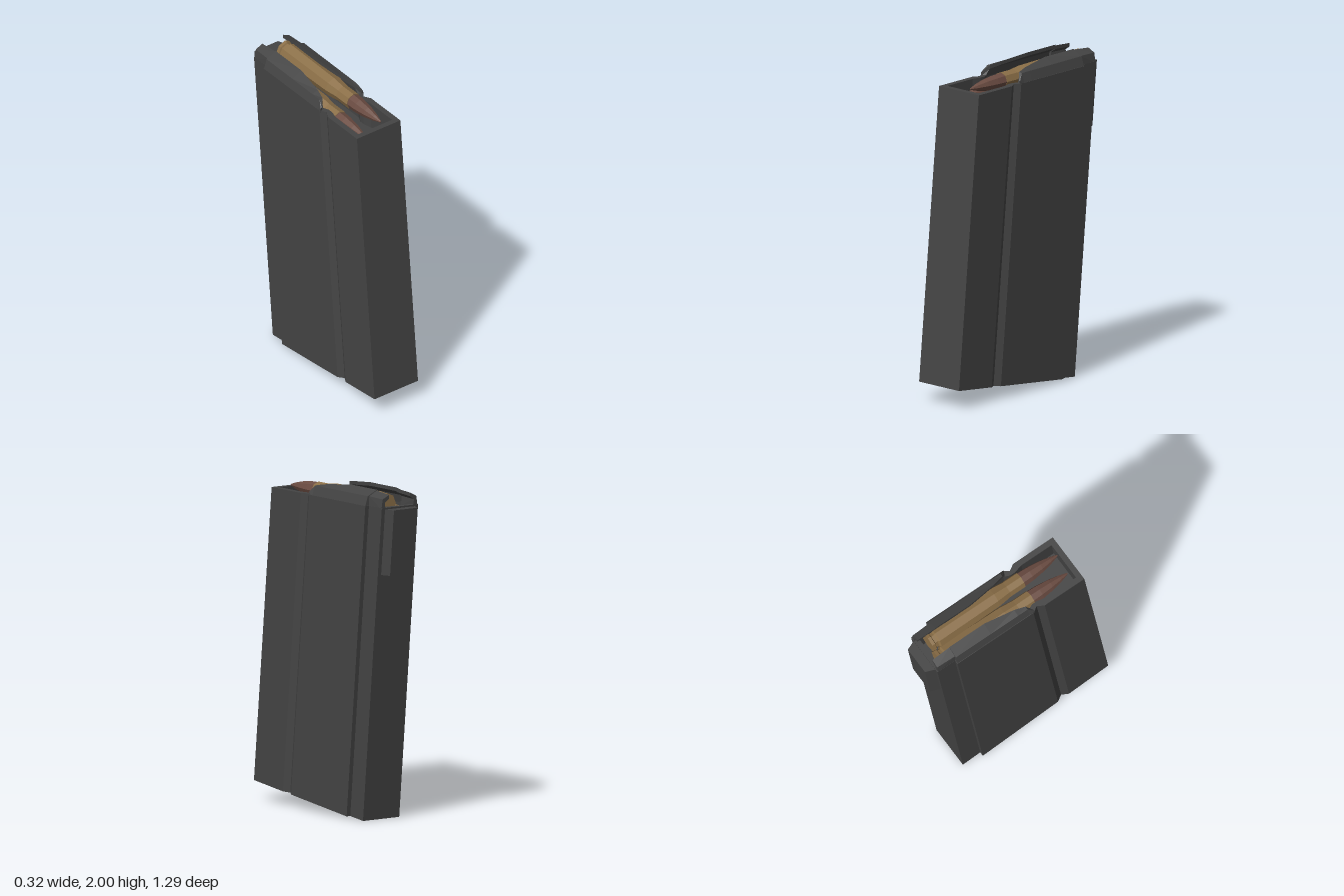
import * as THREE from 'three';

const steel = new THREE.MeshStandardMaterial({ color: 0x444444, side: THREE.DoubleSide, flatShading: true });
steel.name = 'dark steel';
const brass = new THREE.MeshStandardMaterial({ color: 0x8b6f47, flatShading: true });
brass.name = 'brass';
const copper = new THREE.MeshStandardMaterial({ color: 0x6b4c42, flatShading: true });
copper.name = 'copper';

const LEAN = 0.0978; // backward lean of the whole case per unit of height
const TOP = 1.91;
const slopedFloor = (w) => 0.0454 + 0.1135 * w;

// Closed outline, mirrored in x, from [half width, depth] points listed front to back
function outline(half, Type = THREE.Shape) {
  const all = [...half, ...half.slice().reverse().map(([x, w]) => [-x, w])];
  return new Type(all.map(([x, w]) => new THREE.Vector2(x, -w)));
}

// Leaning upright prism between two heights, each a function of depth
function prism(name, shape, low, high) {
  const geo = new THREE.ExtrudeGeometry(shape, { depth: 1, bevelEnabled: false });
  geo.rotateX(-Math.PI / 2);
  const p = geo.attributes.position;
  for (let i = 0; i < p.count; i++) {
    const w = p.getZ(i);
    const y = THREE.MathUtils.lerp(low(w), high(w), p.getY(i));
    p.setXYZ(i, p.getX(i), y, w - LEAN * y);
  }
  geo.computeVertexNormals();
  const mesh = new THREE.Mesh(geo, steel);
  mesh.name = name;
  return mesh;
}

// Solid skin over equal-sized cross-section rings
function loft(rings) {
  const n = rings[0].length;
  const index = [];
  for (let s = 0; s < rings.length - 1; s++) {
    for (let i = 0; i < n; i++) {
      const a = s * n + i, b = s * n + (i + 1) % n;
      index.push(a, a + n, b, b, a + n, b + n);
    }
  }
  // end caps: two quads across the folded sheet
  for (const o of [0, (rings.length - 1) * n]) {
    index.push(o, o + 1, o + 4, o, o + 4, o + 5, o + 1, o + 2, o + 3, o + 1, o + 3, o + 4);
  }
  const geo = new THREE.BufferGeometry();
  geo.setAttribute('position', new THREE.Float32BufferAttribute(rings.flat(2), 3));
  geo.setIndex(index);
  const flat = geo.toNonIndexed();
  flat.computeVertexNormals();
  return flat;
}

// Folded feed lip: stations are [z, outer x, shoulder x, shoulder y, inner x, inner y]
function feedLip(side, stations) {
  const rings = stations.map(([z, a, b, ys, c, yt]) => [
    [a, 1.9, z], [b, ys, z], [c, yt, z],
    [c, yt - 0.022, z], [b - 0.018, ys - 0.02, z], [a - 0.03, 1.89, z],
  ].map(([x, y, d]) => [side * x, y, d]));
  const mesh = new THREE.Mesh(loft(rings), steel);
  mesh.name = side > 0 ? 'leftFeedLip' : 'rightFeedLip';
  return mesh;
}

function turned(name, profile, material) {
  const geo = new THREE.LatheGeometry(profile.map(([r, z]) => new THREE.Vector2(r, z)), 8);
  geo.rotateX(Math.PI / 2);
  const mesh = new THREE.Mesh(geo, material);
  mesh.name = name;
  return mesh;
}

// One round, pointing forward
function cartridge(name, x, y) {
  const g = new THREE.Group();
  g.name = name;
  g.add(
    turned('casing', [[0, -0.525], [0.066, -0.525], [0.066, -0.505], [0.057, -0.5], [0.057, -0.482],
      [0.07, -0.472], [0.063, -0.04], [0.052, 0.05], [0.052, 0.155], [0, 0.156]], brass),
    turned('bullet', [[0.049, 0.15], [0.046, 0.22], [0.036, 0.3], [0.021, 0.37], [0.005, 0.423], [0, 0.425]], copper),
  );
  g.position.set(x, y, 0);
  return g;
}

export function createModel() {
  const model = new THREE.Group();
  model.name = 'magazine';

  // Hollow case with a V groove down each side and a narrower spine
  const outer = [[0.162, 0.657], [0.162, 0.367], [0.138, 0.325], [0.16, 0.288],
    [0.162, 0.285], [0.162, -0.272], [0.135, -0.272], [0.135, -0.4]];
  const inner = [[0.126, 0.622], [0.126, 0.4], [0.112, 0.345], [0.112, 0.31],
    [0.13, 0.27], [0.13, -0.25], [0.108, -0.25], [0.108, -0.366]];
  const caseShape = outline(outer);
  caseShape.holes.push(outline(inner, THREE.Path));
  model.add(prism('caseWalls', caseShape, slopedFloor, () => TOP));

  // Floor and follower fill the inside of the case
  model.add(prism('floor', outline(inner), slopedFloor, (w) => slopedFloor(w) + 0.02));
  model.add(prism('follower', outline(inner), () => 1.71, () => 1.74));

  // Catch block on the spine
  const catchShape = outline([[0.112, -0.39], [0.112, -0.396], [0.088, -0.459]]);
  model.add(prism('catchBlock', catchShape, () => 1.5, () => 1.9));

  // Feed lips: long front part, then the narrower rear part
  const stations = [
    [0.105, 0.162, 0.158, 1.925, 0.15, 1.93],
    [0.07, 0.162, 0.14, 1.965, 0.118, 1.968],
    [0.0, 0.162, 0.14, 1.966, 0.1, 1.98],
    [-0.2, 0.162, 0.14, 1.967, 0.073, 2.0],
    [-0.455, 0.162, 0.14, 1.968, 0.073, 2.0],
    [-0.456, 0.135, 0.13, 1.966, 0.073, 1.995],
    [-0.582, 0.135, 0.125, 1.962, 0.077, 1.985],
  ];
  for (const side of [1, -1]) model.add(feedLip(side, stations));

  // Two staggered rounds
  model.add(cartridge('upperCartridge', 0.05, 1.92));
  model.add(cartridge('lowerCartridge', -0.053, 1.835));

  return model;
}
